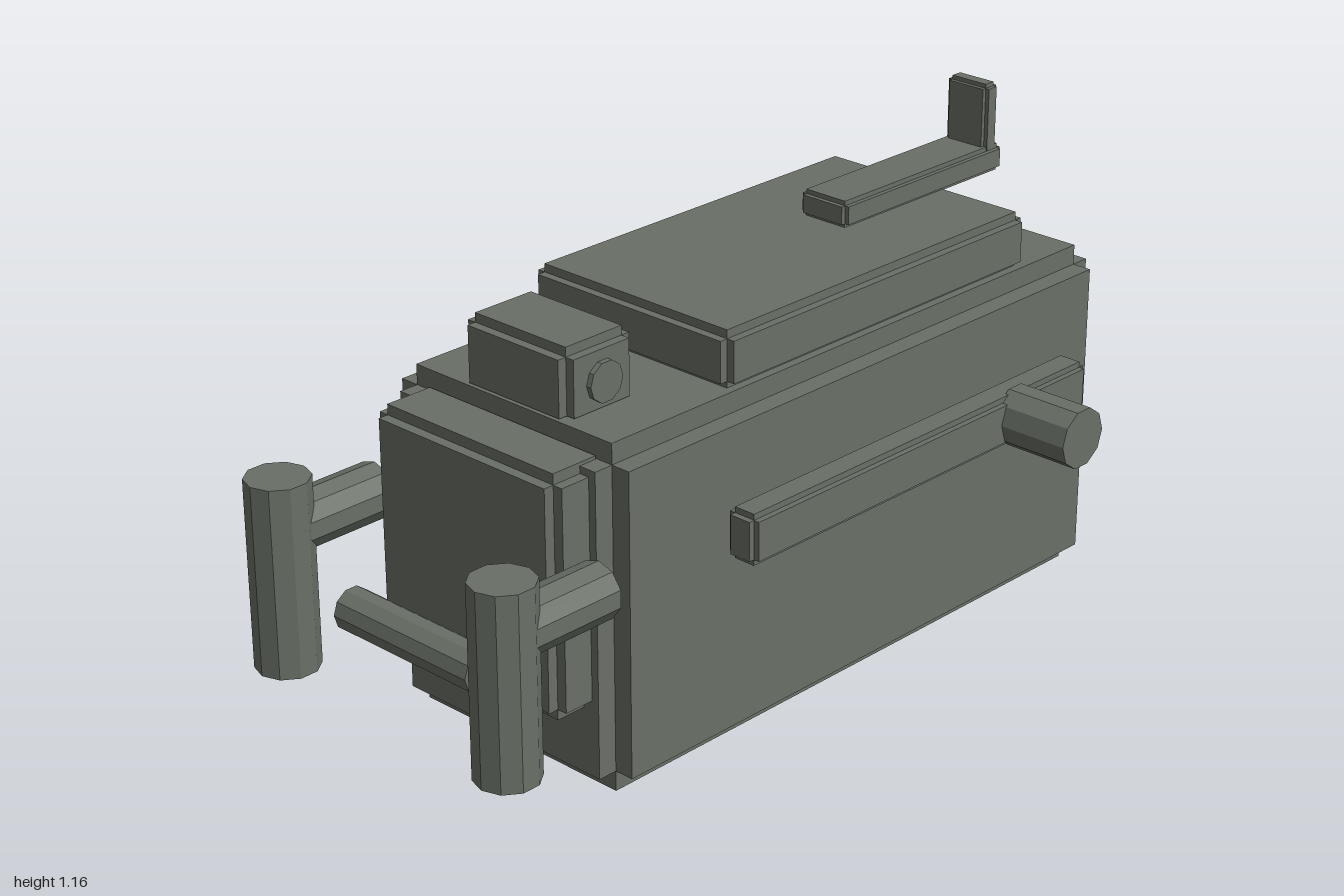
import * as THREE from 'three';

const material = new THREE.MeshStandardMaterial({ color: 0x696f66, flatShading: true });

// Box with stepped edges: three crossing boxes, each full length along one axis only.
function steppedBox(name, [x0, x1], [y0, y1], [z0, z1], inset) {
  const group = new THREE.Group();
  group.name = name;
  const size = [x1 - x0, y1 - y0, z1 - z0];
  for (let axis = 0; axis < 3; axis++) {
    const s = size.map((v, i) => (i === axis ? v : v - 2 * inset));
    const slab = new THREE.Mesh(new THREE.BoxGeometry(...s), material);
    slab.name = name + 'Slab' + 'XYZ'[axis];
    group.add(slab);
  }
  group.position.set((x0 + x1) / 2, (y0 + y1) / 2, (z0 + z1) / 2);
  return group;
}

// Ten-sided rod lying along the given axis.
function rod(name, axis, radius, length, x, y, z) {
  const geometry = new THREE.CylinderGeometry(radius, radius, length, 10);
  if (axis === 'x') geometry.rotateZ(Math.PI / 2);
  if (axis === 'z') geometry.rotateX(Math.PI / 2);
  const mesh = new THREE.Mesh(geometry, material);
  mesh.name = name;
  mesh.position.set(x, y, z);
  return mesh;
}

export function createModel() {
  const model = new THREE.Group();
  model.name = 'machineHousing';

  // Main housing with front plate and top cover
  model.add(
    steppedBox('body', [-0.342, 0.342], [0, 0.81], [-1, 0.62], 0.048),
    steppedBox('frontPlate', [-0.275, 0.275], [0.205, 0.77], [0.55, 0.72], 0.025),
    steppedBox('topCover', [-0.293, 0.293], [0.805, 0.942], [-0.77, 0.23], 0.02)
  );

  // Block on the front of the top, with a pin through it
  model.add(
    steppedBox('topBlock', [-0.157, 0.157], [0.79, 0.965], [0.36, 0.565], 0.022),
    rod('blockPin', 'x', 0.047, 0.34, 0, 0.873, 0.46)
  );

  // Lever on the cover with its upright tab
  model.add(
    steppedBox('lever', [-0.069, 0.069], [0.94, 1.005], [-0.957, -0.395], 0.011),
    steppedBox('leverTab', [-0.06, 0.06], [0.985, 1.157], [-0.945, -0.897], 0.01)
  );

  // Side rails, side knobs and front grips, mirrored
  for (const side of [-1, 1]) {
    const prefix = side > 0 ? 'left' : 'right';
    const railX = [side * 0.35, side * 0.432].sort((a, b) => a - b);
    model.add(
      steppedBox(prefix + 'Rail', railX, [0.47, 0.59], [-0.84, 0.295], 0.014),
      rod(prefix + 'Knob', 'x', 0.072, 0.195, side * 0.507, 0.53, -0.598),
      rod(prefix + 'Grip', 'y', 0.073, 0.445, side * 0.342, 0.428, 0.925),
      rod(prefix + 'GripArm', 'z', 0.065, 0.24, side * 0.342, 0.53, 0.78)
    );
  }

  // Bar between the grips
  model.add(rod('frontBar', 'x', 0.05, 0.405, 0, 0.366, 0.857));

  return model;
}
